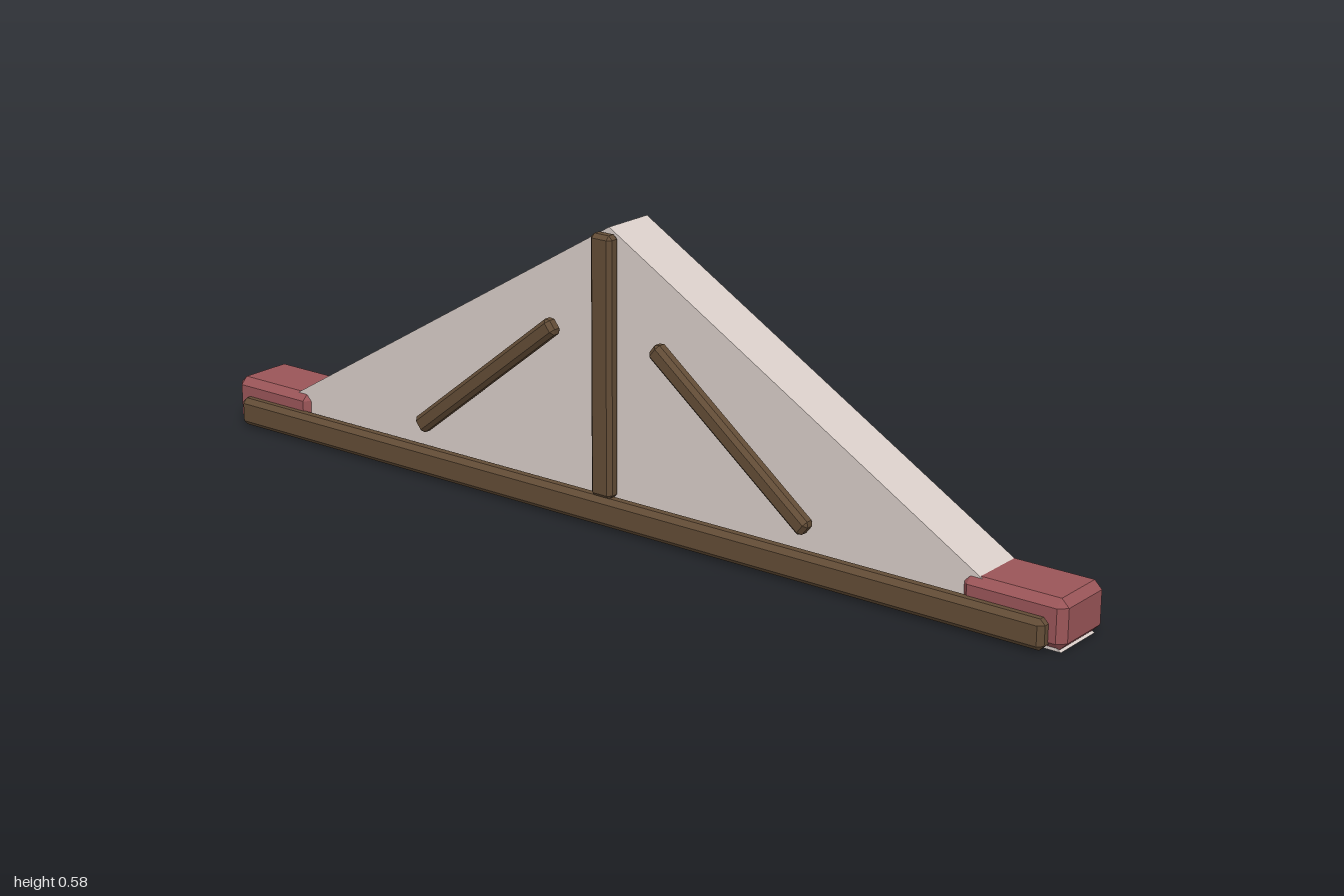
import * as THREE from 'three';
import { ConvexGeometry } from 'three/addons/geometries/ConvexGeometry.js';

const paint = (color) => new THREE.MeshStandardMaterial({ color, flatShading: true });

// Box with every edge and corner cut off by c
function chamferBox(w, h, d, c) {
  const points = [];
  for (const x of [-1, 1]) for (const y of [-1, 1]) for (const z of [-1, 1]) {
    for (let axis = 0; axis < 3; axis++) {
      const inset = [c, c, c];
      inset[axis] = 0;
      points.push(new THREE.Vector3(
        x * (w / 2 - inset[0]), y * (h / 2 - inset[1]), z * (d / 2 - inset[2])));
    }
  }
  return new ConvexGeometry(points);
}

export function createModel() {
  const group = new THREE.Group();
  const wood = paint(0x624c36);
  const red = paint(0x9a5558);
  const plaster = paint(0xd8cdc8);

  function add(name, geometry, material, x, y, z, angle = 0) {
    const mesh = new THREE.Mesh(geometry, material);
    mesh.name = name;
    mesh.position.set(x, y, z);
    mesh.rotation.z = angle;
    group.add(mesh);
  }

  // Triangular gable wall
  const outline = new THREE.Shape([
    new THREE.Vector2(-0.99, 0), new THREE.Vector2(0.99, 0), new THREE.Vector2(0, 0.585),
  ]);
  const wall = new THREE.ExtrudeGeometry(outline, { depth: 0.113, bevelEnabled: false });
  add('gableWall', wall, plaster, 0, 0.002, -0.065);

  // Timber frame on the front face
  add('tieBeam', chamferBox(1.94, 0.058, 0.034, 0.01), wood, 0, 0.035, 0.064);
  add('kingPost', chamferBox(0.05, 0.515, 0.03, 0.008), wood, 0, 0.32, 0.063);

  // Mirrored braces and eave blocks
  for (const [side, s] of [['left', 1], ['right', -1]]) {
    add(side + 'Brace', chamferBox(0.445, 0.036, 0.03, 0.008), wood,
      s * 0.295, 0.243, 0.064, -s * 0.667);
    add(side + 'EaveBlock', chamferBox(0.21, 0.095, 0.14, 0.015), red, s * 0.895, 0.0525, -0.01);
  }
  return group;
}
